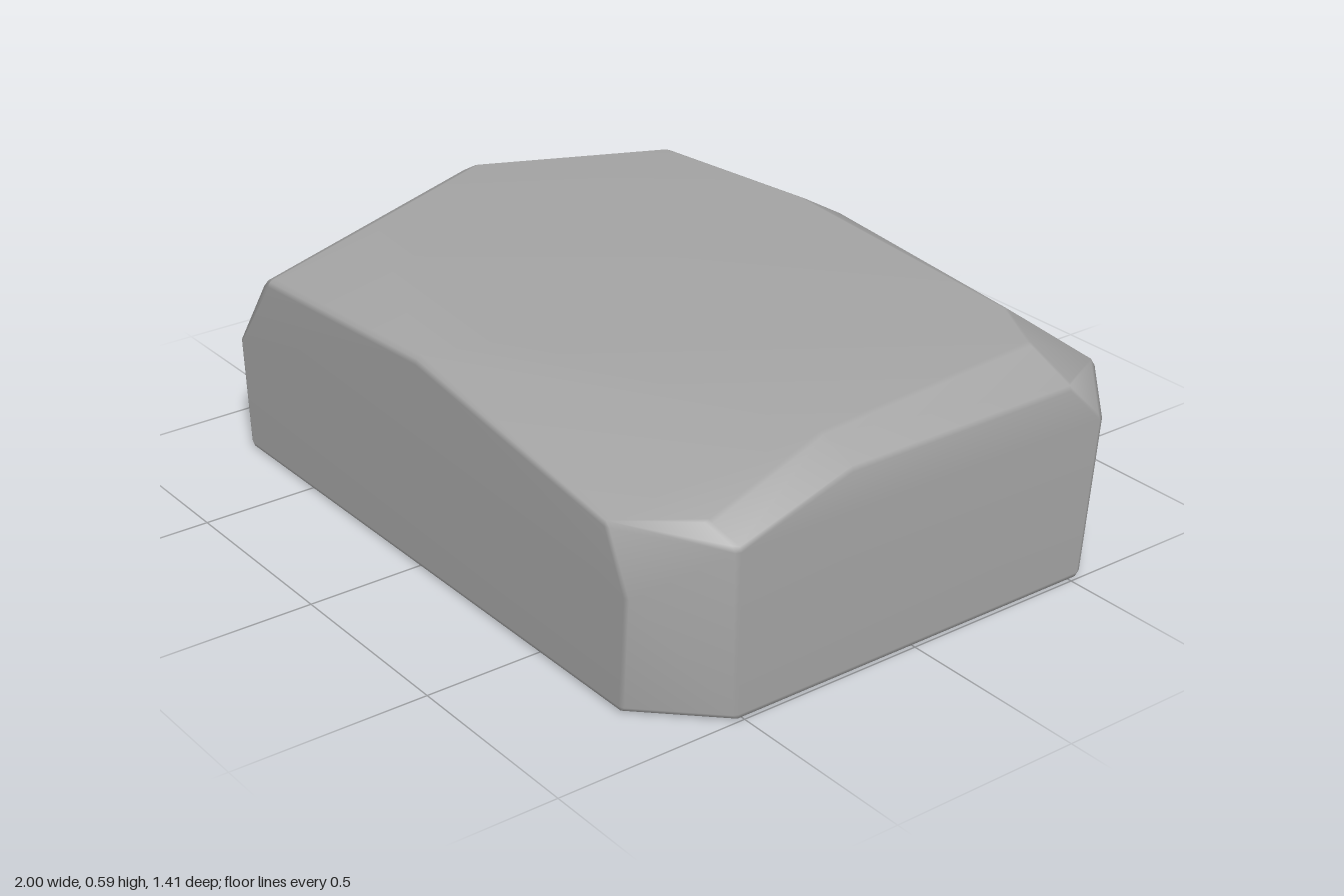
import * as THREE from 'three';
import { mergeVertices } from 'three/addons/utils/BufferGeometryUtils.js';
import { ConvexGeometry } from 'three/addons/geometries/ConvexGeometry.js';

const EDGE = 0.018; // radius of the worn edges

// Corners of the stone as [x, y, z]
const CORNERS = [
  // base outline
  [-1, 0, -0.51], [-0.8, 0, -0.705], [0.84, 0, -0.705], [1, 0, -0.53],
  [1, 0, 0.53], [0.83, 0, 0.705], [-0.8, 0, 0.705], [-1, 0, 0.53],
  // upper edge of the front face
  [-0.82, 0.3, 0.705], [-0.66, 0.52, 0.705], [0.03, 0.565, 0.705], [0.78, 0.455, 0.705], [0.85, 0.3, 0.705],
  // upper edge of the +x face
  [1, 0.43, 0.53], [0.93, 0.465, 0.55], [0.985, 0.52, 0.2], [0.985, 0.52, -0.48], [1, 0.42, -0.57],
  // upper edge of the back face
  [0.84, 0.46, -0.705], [-0.1, 0.54, -0.705], [-0.78, 0.41, -0.705],
  // upper edge of the -x face
  [-0.985, 0.41, -0.51], [-0.98, 0.53, -0.1], [-1, 0.345, 0.53],
  // top outline
  [-0.7, 0.565, -0.59], [-0.15, 0.59, -0.62], [0.7, 0.59, -0.55], [0.87, 0.59, -0.46],
  [0.91, 0.575, 0.22], [0.12, 0.592, 0.52], [-0.7, 0.583, 0.37], [-0.92, 0.565, -0.1],
];

// Hull around a small ball at every corner, which rounds all the edges
function roundedHull(corners, radius) {
  const ball = mergeVertices(new THREE.OctahedronGeometry(radius, 1).deleteAttribute('normal').deleteAttribute('uv'));
  const offsets = ball.getAttribute('position');
  const half = new THREE.Vector3(1, 0.296, 0.705);
  const points = [];
  for (const [x, y, z] of corners) {
    // move each corner inward so that the balls stay inside the overall size
    const centre = new THREE.Vector3(
      x * (1 - radius / half.x),
      half.y + (y - half.y) * (1 - radius / half.y),
      z * (1 - radius / half.z),
    );
    for (let i = 0; i < offsets.count; i++) {
      points.push(new THREE.Vector3().fromBufferAttribute(offsets, i).add(centre));
    }
  }
  // shared vertices give area-weighted normals: flat facets, soft edges
  const hull = new ConvexGeometry(points);
  hull.deleteAttribute('normal');
  const smooth = mergeVertices(hull, 1e-5);
  smooth.computeVertexNormals();
  return smooth;
}

export function createModel() {
  const group = new THREE.Group();
  group.name = 'rock';
  const stone = new THREE.MeshStandardMaterial({ color: 0xa3a3a3 });
  stone.name = 'grey stone';
  const body = new THREE.Mesh(roundedHull(CORNERS, EDGE), stone);
  body.name = 'stoneBlock';
  group.add(body);
  return group;
}
